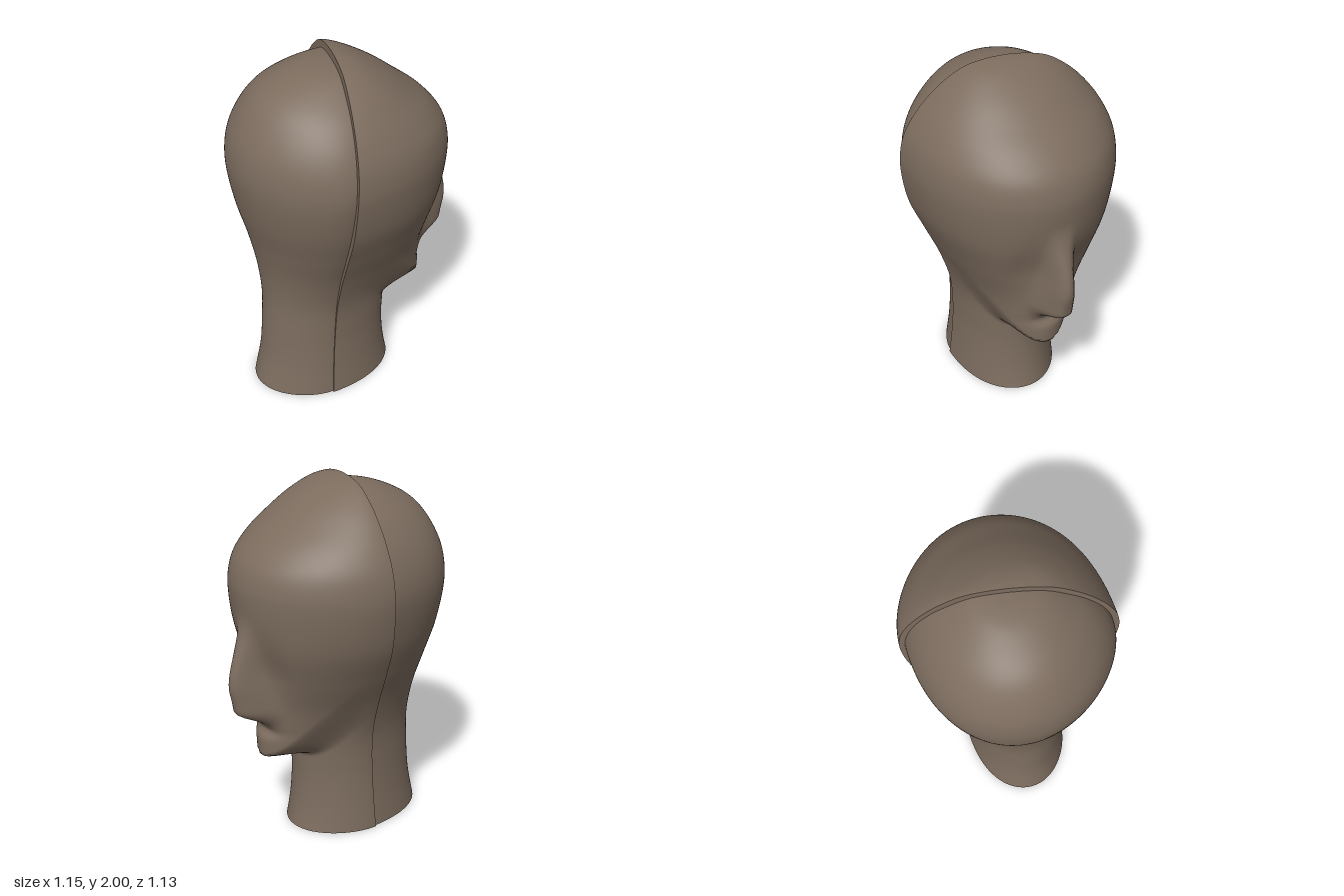
import * as THREE from 'three';

const COLS = 96, STEPS = 12;
const V = (A, y, W) => new THREE.Vector3(A, y, W);

// cross-section keys: depth from the seam, height, half width
const faceKeys = new THREE.CatmullRomCurve3([
  V(.595, 0, .3), V(.595, .2, .282), V(.595, .4, .275), V(.595, .6, .29), V(.585, .8, .35),
  V(.615, 1, .435), V(.645, 1.2, .515), V(.657, 1.4, .548), V(.65, 1.5, .548), V(.615, 1.6, .53),
  V(.53, 1.7, .485), V(.4, 1.8, .415), V(.275, 1.89, .325), V(.14, 1.965, .21), V(.06, 1.992, .1),
  V(0, 2, 0)]);
const backKeys = new THREE.CatmullRomCurve3([
  V(.4, 0, .29), V(.368, .2, .272), V(.36, .4, .265), V(.36, .6, .275), V(.385, .8, .325),
  V(.432, 1, .405), V(.492, 1.2, .478), V(.533, 1.4, .519), V(.538, 1.5, .519), V(.525, 1.6, .497),
  V(.487, 1.7, .452), V(.425, 1.8, .375), V(.345, 1.87, .29), V(.2, 1.935, .18), V(.1, 1.955, .09),
  V(0, 1.96, 0)]);
const ROWS = (faceKeys.points.length - 1) * STEPS;

const bump = (d, r) => Math.exp(-(d * d) / (r * r));
const { smoothstep: smooth, lerp } = THREE.MathUtils;

// nose, eye hollows and mouth as a forward displacement
function faceRelief(x, y) {
  const rise = smooth(y, .7, .82) * (1 - smooth(y, .92, 1.36));
  const width = lerp(.095, .065, smooth(y, .78, 1.1));
  let d = .155 * rise * Math.exp(-Math.pow(Math.abs(x) / width, 3));
  d -= .02 * bump(Math.abs(x) - .16, .08) * bump(y - 1.05, .16);
  d -= .03 * bump(x, .1) * bump(y - .67, .03);
  return d;
}

// a point on the skewed oval section at angle t (0 is straight ahead)
function sectionPoint(depth, y, width, t) {
  const c = Math.cos(t), x = width * Math.sin(t);
  const z = -.12 + .045 * y + depth * c + .18 * x * (1 - Math.abs(c)) ** 2;
  // the neck sits slightly to one side of the skull
  return V(x - .015 * (1 - smooth(y, .4, 1.2)), y, z);
}

function facePoint(row, t) {
  const k = faceKeys.getPoint(row / ROWS), s2 = Math.sin(t) ** 2;
  // the jaw line rises from a broad chin and fades out towards the sides
  const jaw = .475 + .22 * s2 * s2;
  const flare = Math.max(0, 1 - k.y / .4);
  const neckDepth = .365 + .055 * flare * flare;
  const depth = lerp(neckDepth, k.x, smooth(k.y, jaw, jaw + .04 + .3 * s2));
  const p = sectionPoint(depth, k.y, k.z, t);
  if (Math.cos(t) > .1) p.z += faceRelief(p.x, p.y);
  return p;
}

function backPoint(row, t) {
  const k = backKeys.getPoint(row / ROWS);
  return sectionPoint(k.x, k.y, k.z, t);
}

// smooth surface from a grid of points
function gridGeometry(rows, cols, pointAt) {
  const pos = [], index = [], n = cols + 1;
  for (let i = 0; i <= rows; i++)
    for (let j = 0; j <= cols; j++) pos.push(...pointAt(i, j).toArray());
  for (let i = 0; i < rows; i++)
    for (let j = 0; j < cols; j++) {
      const a = i * n + j, b = a + 1, c = a + n, d = c + 1;
      index.push(a, b, d, a, d, c);
    }
  const g = new THREE.BufferGeometry();
  g.setAttribute('position', new THREE.Float32BufferAttribute(pos, 3));
  g.setIndex(index);
  g.computeVertexNormals();
  return g;
}

export function createModel() {
  const model = new THREE.Group();
  model.name = 'head';
  const clay = new THREE.MeshStandardMaterial({ color: 0x7c6c5e, side: THREE.DoubleSide });
  clay.name = 'brown clay';
  const add = (name, geometry) => {
    const mesh = new THREE.Mesh(geometry, clay);
    mesh.name = name;
    model.add(mesh);
  };

  // face half, slightly larger than the back half
  add('faceHalf', gridGeometry(ROWS, COLS, (i, j) => facePoint(i, (j / COLS - .5) * Math.PI)));
  add('backHalf', gridGeometry(ROWS, COLS, (i, j) => backPoint(i, (j / COLS + .5) * Math.PI)));

  // step along the seam, on both sides
  for (const side of [1, -1]) {
    const t = side * Math.PI / 2;
    add(side > 0 ? 'seamStepLeft' : 'seamStepRight', gridGeometry(ROWS, 1,
      (i, j) => ((j === 0) === (side > 0) ? facePoint(i, t) : backPoint(i, t))));
  }

  // turn the face towards its heading
  model.rotation.y = THREE.MathUtils.degToRad(124.5);
  return model;
}
